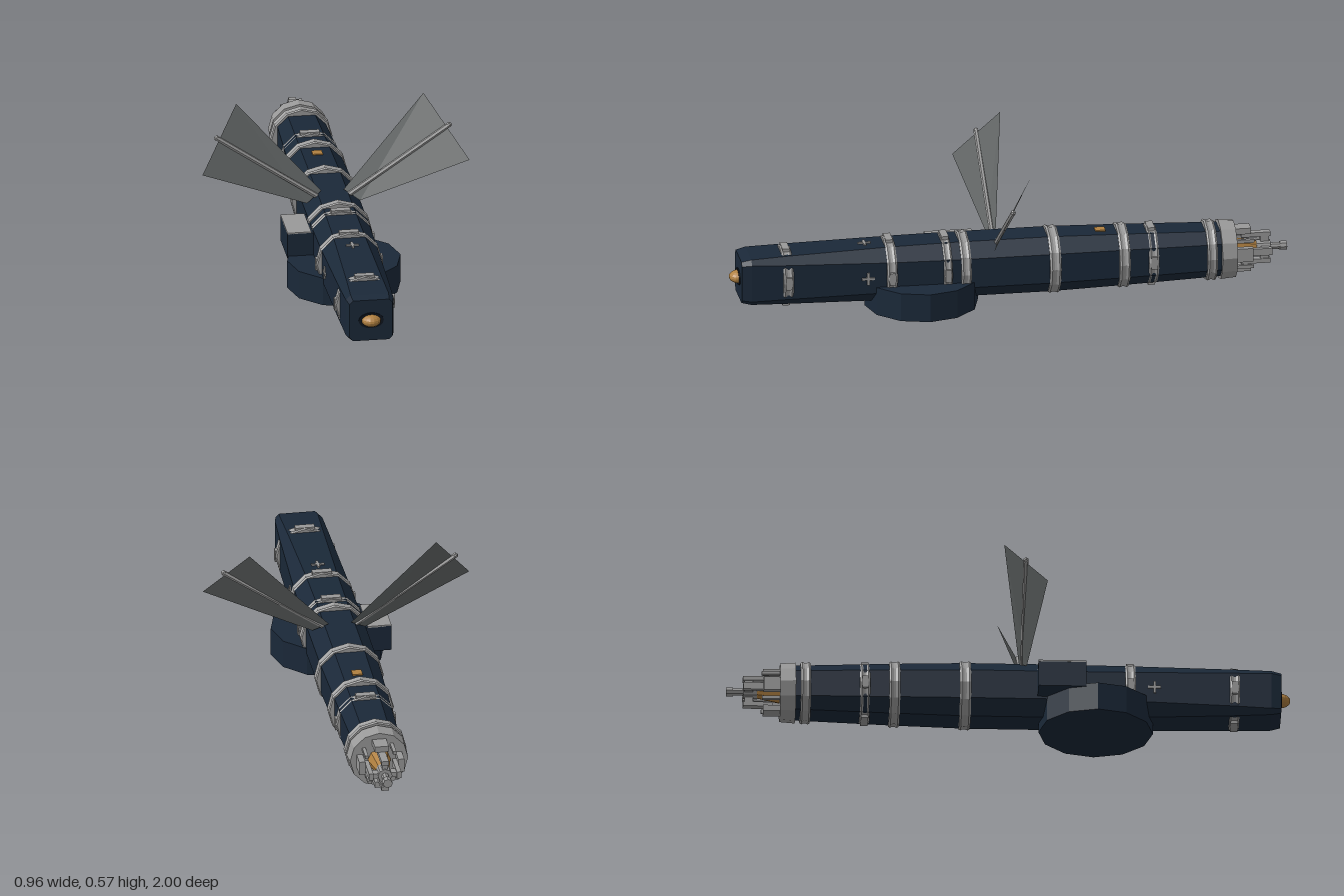
import * as THREE from 'three';

const mat = (color, extra = {}) => new THREE.MeshStandardMaterial({ color, flatShading: true, ...extra });
const AXIS = 0.137; // height of the hull's long axis

export function createModel() {
  const model = new THREE.Group();
  const navy = mat(0x1a2838), grey = mat(0x999999), gold = mat(0xb08040), dark = mat(0x0e151f);
  const sail = mat(0x626666, { side: THREE.DoubleSide });

  const add = (name, geometry, material, x = 0, y = 0, z = 0, parent = model) => {
    const mesh = new THREE.Mesh(geometry, material);
    mesh.name = name;
    mesh.position.set(x, y, z);
    parent.add(mesh);
    return mesh;
  };
  const box = (name, material, w, h, d, x, y, z, parent) =>
    add(name, new THREE.BoxGeometry(w, h, d), material, x, y, z, parent);

  // Chamfered-square loft along z; each station is [z, half size, half flat]
  function loft(stations) {
    const sections = stations.map(([z, s, f]) =>
      [[s, -f], [s, f], [f, s], [-f, s], [-s, f], [-s, -f], [-f, -s], [f, -s]].map(([x, y]) => [x, y, z]));
    const v = [];
    const tri = (a, b, c) => v.push(...a, ...b, ...c);
    const last = sections.length - 1;
    for (let j = 0; j < 8; j++) {
      const k = (j + 1) % 8;
      for (let i = 0; i < last; i++) {
        const a = sections[i][j], b = sections[i][k], c = sections[i + 1][k], d = sections[i + 1][j];
        tri(a, d, c);
        tri(a, c, b);
      }
      tri([0, 0, stations[0][0]], sections[0][j], sections[0][k]);
      tri([0, 0, stations[last][0]], sections[last][k], sections[last][j]);
    }
    const g = new THREE.BufferGeometry();
    g.setAttribute('position', new THREE.Float32BufferAttribute(v, 3));
    g.computeVertexNormals();
    return g;
  }

  // Hull and nose
  add('hull', loft([
    [0.965, 0.077, 0.064], [0.93, 0.085, 0.068], [0.8, 0.09, 0.064], [0.43, 0.1, 0.056],
    [0.2, 0.103, 0.054], [-0.15, 0.103, 0.054], [-0.42, 0.096, 0.052], [-0.78, 0.084, 0.048],
  ]), navy, 0, AXIS, 0);
  const socket = add('noseSocket', new THREE.CylinderGeometry(0.045, 0.045, 0.008, 16), dark, 0, AXIS, 0.965);
  socket.rotation.x = Math.PI / 2;
  socket.scale.z = 0.65;
  const nose = add('noseLamp', new THREE.SphereGeometry(0.035, 14, 10), gold, 0, AXIS, 0.965);
  nose.scale.set(1, 0.65, 1);

  // Grooved bands around the hull: [z, radius, half width, has side clamps]
  const bands = [
    [0.8, 0.107, 0.018, true], [0.43, 0.119, 0.018, true], [0.23, 0.119, 0.015, true],
    [0.165, 0.123, 0.018, false], [-0.155, 0.123, 0.02, false], [-0.405, 0.118, 0.019, false],
    [-0.51, 0.108, 0.018, true], [-0.72, 0.111, 0.018, false],
  ];
  for (const [z, r, w, clamps] of bands) {
    const profile = [[r - 0.025, -w], [r - 0.004, -w], [r, -w * 0.65], [r - 0.004, -w * 0.2],
      [r - 0.004, w * 0.2], [r, w * 0.65], [r - 0.004, w], [r - 0.025, w], [r - 0.025, -w]]
      .map(([x, y]) => new THREE.Vector2(x, y));
    const band = add('band', new THREE.LatheGeometry(profile, 12), grey, 0, AXIS, z);
    band.rotation.x = Math.PI / 2;
    if (clamps) for (const s of [-1, 1]) {
      box('bandClamp', grey, 0.014, 0.045, 0.022, s * (r - 0.006), AXIS, z);
      box('bandClamp', grey, 0.07, 0.012, 0.026, 0, AXIS + s * (r - 0.006), z);
    }
  }

  // Small cross fittings on the top and both sides
  for (const turn of [-1, 0, 1]) {
    const cross = new THREE.Group();
    cross.name = 'crossFitting';
    cross.position.set(0, AXIS, 0.515);
    cross.rotation.z = turn * Math.PI / 2;
    box('crossBar', grey, 0.046, 0.008, 0.009, 0, 0.099, 0, cross);
    box('crossBar', grey, 0.009, 0.008, 0.046, 0, 0.099, 0, cross);
    model.add(cross);
  }
  box('topPlate', gold, 0.036, 0.01, 0.036, 0, AXIS + 0.098, -0.33);

  // Round base and side locker
  const base = add('base', new THREE.CylinderGeometry(0.203, 0.203, 0.103, 12), navy, 0, 0.0515, 0.31);
  base.rotation.y = Math.PI / 2;
  box('locker', navy, 0.095, 0.095, 0.17, -0.1475, 0.14, 0.185);
  box('lockerLid', grey, 0.085, 0.006, 0.17, -0.153, 0.189, 0.185);

  // Pair of raised sails, each with a spar
  for (const s of [-1, 1]) {
    const g = new THREE.BufferGeometry();
    g.setAttribute('position', new THREE.Float32BufferAttribute([
      s * 0.095, 0.213, 0.062, s * 0.478, 0.37, 0.122, s * 0.335, 0.574, -0.027, s * 0.04, 0.248, 0.036], 3));
    g.setIndex(s > 0 ? [0, 1, 2, 0, 2, 3] : [0, 2, 1, 0, 3, 2]);
    g.computeVertexNormals();
    add('sail', g, sail);
    const spar = new THREE.LineCurve3(
      new THREE.Vector3(s * 0.055, 0.232, 0.049), new THREE.Vector3(s * 0.416, 0.478, 0.047));
    add('sailSpar', new THREE.TubeGeometry(spar, 1, 0.009, 6), grey);
    const cap = add('sparEnd', new THREE.SphereGeometry(0.01, 6, 4), grey, s * 0.416, 0.478, 0.047);
    cap.rotation.z = s * 0.6;
  }

  // Tail collar, nozzle and stepped claws
  const tail = new THREE.Group();
  tail.name = 'tail';
  tail.position.y = AXIS;
  model.add(tail);
  const rod = (name, rFront, rBack, z0, z1, sides, material) => {
    const m = add(name, new THREE.CylinderGeometry(rFront, rBack, z0 - z1, sides), material, 0, 0, (z0 + z1) / 2, tail);
    m.rotation.x = Math.PI / 2;
    return m;
  };
  rod('tailCollar', 0.108, 0.104, -0.755, -0.81, 12, grey);
  rod('tailNozzle', 0.042, 0.022, -0.805, -0.895, 8, gold);
  for (let i = 0; i < 4; i++) {
    const claw = new THREE.Group();
    claw.name = 'tailClaw';
    claw.rotation.z = i * Math.PI / 2;
    box('clawRoot', grey, 0.022, 0.05, 0.062, 0.07, 0, -0.838, claw);
    box('clawArm', grey, 0.016, 0.026, 0.105, 0.05, 0, -0.888, claw);
    box('clawTip', grey, 0.05, 0.018, 0.03, 0.027, 0, -0.92, claw);
    box('clawRail', grey, 0.012, 0.012, 0.07, 0.055, 0.045, -0.84, claw);
    tail.add(claw);
  }
  rod('tailHub', 0.026, 0.026, -0.89, -0.94, 8, grey);
  rod('tailProbe', 0.013, 0.013, -0.94, -1.0, 8, grey);
  rod('probeEnd', 0.017, 0.017, -0.975, -1.0, 8, grey);

  return model;
}
